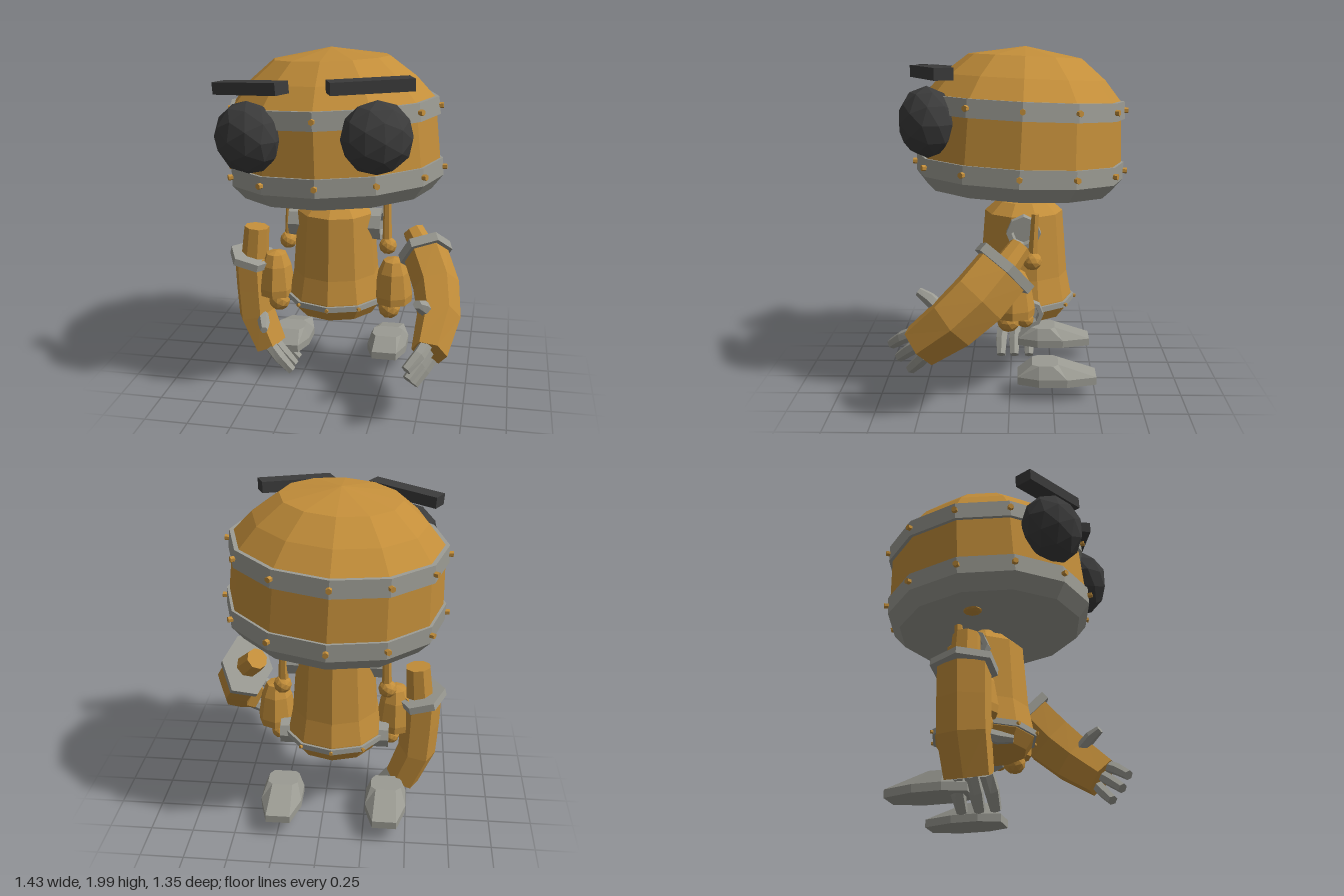
import * as THREE from 'three';

const mat = (name, color) => Object.assign(new THREE.MeshStandardMaterial({ color, flatShading: true }), { name });
const V = (a) => new THREE.Vector3(...a);

export function createModel() {
  const gold = mat('gold', 0xc38e3a);
  const grey = mat('grey', 0x9b9b93);
  const dark = mat('dark', 0x3b3b3b);
  const model = new THREE.Group();
  model.name = 'robot';

  const add = (parent, name, geo, material, pos = [0, 0, 0]) => {
    const mesh = new THREE.Mesh(geo, material);
    mesh.name = name;
    mesh.position.set(...pos);
    parent.add(mesh);
    return mesh;
  };
  const lathe = (pts, sides) => new THREE.LatheGeometry(pts.map((p) => new THREE.Vector2(...p)), sides);

  // Skin a list of equal-sized rings and close both ends
  const skin = (rings) => {
    const n = rings[0].length;
    const pos = [];
    const index = [];
    rings.forEach((r) => r.forEach((p) => pos.push(p.x, p.y, p.z)));
    for (let i = 0; i < rings.length - 1; i++) {
      for (let j = 0; j < n; j++) {
        const a = i * n + j, b = i * n + (j + 1) % n;
        index.push(a, b, b + n, a, b + n, a + n);
      }
    }
    const last = (rings.length - 1) * n;
    for (let j = 1; j < n - 1; j++) {
      index.push(0, j + 1, j, last, last + j, last + j + 1);
    }
    const g = new THREE.BufferGeometry();
    g.setAttribute('position', new THREE.Float32BufferAttribute(pos, 3));
    g.setIndex(index);
    g.computeVertexNormals();
    return g;
  };

  // Six-sided limb through points [x, y, z, radius], widened front to back
  const limb = (path, wide = 1, sides = 6) => {
    const pts = path.map(V);
    return skin(pts.map((p, i) => {
      const t = pts[Math.min(i + 1, pts.length - 1)].clone().sub(pts[Math.max(i - 1, 0)]).normalize();
      const u = new THREE.Vector3(1, 0, 0).cross(t).normalize();
      const v = t.clone().cross(u);
      return Array.from({ length: sides }, (_, j) => {
        const a = (j + 0.5) / sides * Math.PI * 2;
        return p.clone().addScaledVector(u, Math.cos(a) * path[i][3] * wide)
          .addScaledVector(v, Math.sin(a) * path[i][3]);
      });
    }));
  };

  // Rivets standing out around a ring
  const rivets = (parent, count, radius, y, size) => {
    for (let i = 0; i < count; i++) {
      const a = i / count * Math.PI * 2;
      const r = add(parent, 'rivet', new THREE.CylinderGeometry(size, size, size * 2, 6), gold,
        [Math.sin(a) * radius, y, Math.cos(a) * radius]);
      r.rotation.set(Math.PI / 2, a, 0, 'YXZ');
    }
  };

  // Head, slightly tilted
  const head = new THREE.Group();
  head.name = 'head';
  head.position.set(-0.055, 1.315, -0.055);
  head.rotation.set(-0.045, 0, 0.047);
  head.scale.set(1.015, 1, 0.985);
  model.add(head);
  add(head, 'headShell', lathe([[0.598, 0], [0.597, 0.05], [0.582, 0.3], [0.572, 0.4], [0.475, 0.515],
    [0.33, 0.632], [0, 0.688]], 12), gold);
  add(head, 'lowerBand', lathe([[0, -0.13], [0.545, -0.13], [0.613, -0.05], [0.613, 0.05], [0.58, 0.05]], 12), grey);
  add(head, 'upperBand', lathe([[0.57, 0.3], [0.603, 0.3], [0.596, 0.4], [0.55, 0.4]], 12), grey);
  rivets(head, 12, 0.618, 0, 0.017);
  rivets(head, 12, 0.603, 0.35, 0.017);
  for (const s of [-1, 1]) {
    const pad = add(head, 'headSocket', new THREE.IcosahedronGeometry(0.055, 1), gold, [s * 0.315, -0.13, -0.01]);
    pad.scale.y = 0.35;
  }

  // Eyes [x, y, z, yaw] and brows [x, y, z, yaw, roll]
  for (const [x, y, z, yaw] of [[-0.442, 1.575, 0.425, -0.46], [0.257, 1.606, 0.45, 0.42]]) {
    const eye = add(model, 'eye', new THREE.IcosahedronGeometry(0.197, 1), dark, [x, y, z]);
    eye.scale.z = 0.8;
    eye.rotation.y = yaw;
  }
  for (const [x, y, z, yaw, roll] of [[-0.428, 1.838, 0.405, -0.458, 0.085], [0.218, 1.872, 0.428, 0.405, 0.018]]) {
    const brow = add(model, 'brow', new THREE.BoxGeometry(0.445, 0.066, 0.108), dark, [x, y, z]);
    brow.rotation.set(0, yaw, roll, 'YXZ');
  }

  // Body with riveted waist ring and neck ball
  const body = new THREE.Group();
  body.name = 'body';
  body.position.set(-0.06, 0, -0.078);
  model.add(body);
  add(body, 'torso', lathe([[0, 0.43], [0.24, 0.43], [0.287, 0.5], [0.285, 0.54], [0.257, 0.68], [0.228, 1.05],
    [0.155, 1.115], [0, 1.13]], 10), gold);
  add(body, 'waistRing', lathe([[0.27, 0.503], [0.302, 0.503], [0.302, 0.535], [0.27, 0.535]], 10), grey);
  rivets(body, 10, 0.303, 0.519, 0.011);
  add(body, 'neckBall', new THREE.IcosahedronGeometry(0.085, 1), gold, [0, 1.115, 0]);

  // Paired sockets, pistons, hips and feet
  const socket = (x, y, z, s, r) => {
    const ring = add(body, 'socketRing', lathe([[0, -0.05], [r, -0.05], [r, 0.05], [r * 0.7, 0.05], [r * 0.6, 0.01],
      [0, 0.01]], 8), grey, [x, y, z]);
    ring.rotation.z = -s * Math.PI / 2;
  };
  const outline = [[0.075, -0.045], [0.12, -0.17], [0.12, -0.33], [0.07, -0.5]];
  const crown = [[0.065, -0.13], [0.09, -0.17], [0.09, -0.25], [0.06, -0.28]];
  const footRing = (half, y) => [...half, ...half.map(([x, z]) => [-x, z]).reverse()]
    .map(([x, z]) => new THREE.Vector3(x, y, z));
  for (const s of [-1, 1]) {
    socket(s * 0.225, 0.97, 0, s, 0.098);
    socket(s * 0.272, 0.505, -0.035, s, 0.08);
    add(body, 'pistonBall', new THREE.IcosahedronGeometry(0.054, 1), gold, [s * 0.307, 0.82, -0.05]);
    add(body, 'pistonRod', limb([[s * 0.302, 0.82, -0.05, 0.03], [s * 0.298, 1.09, -0.065, 0.023]]), gold);
    const thigh = add(body, 'thigh', lathe([[0, 0.505], [0.11, 0.515], [0.114, 0.56], [0.092, 0.7], [0.062, 0.77],
      [0, 0.785]], 8), gold, [s * 0.358, 0, 0.06]);
    thigh.scale.z = 1.1;
    add(body, 'hipBall', new THREE.IcosahedronGeometry(0.066, 1), gold, [s * 0.338, 0.475, 0.085]);
    add(body, 'kneeBall', new THREE.IcosahedronGeometry(0.05, 1), gold, [s * 0.335, 0.485, -0.01]);
    add(model, 'foot', skin([footRing(outline, 0.1), footRing(outline, 0.145), footRing(crown, 0.217)]), grey,
      [s * 0.31 - 0.068, 0, 0]);
  }

  // Arms: upper tube, cuff, forearm, then fingers and thumb
  const arm = (name, parts) => {
    const g = new THREE.Group();
    g.name = name;
    model.add(g);
    add(g, 'upperArm', limb(parts.upper, 1, 8), gold);
    add(g, 'cuff', limb(parts.cuff, 1.3), grey);
    add(g, 'forearm', limb(parts.forearm, 1.3), gold);
    parts.digits.forEach((d) => add(g, 'finger', limb(d), grey));
    add(g, 'thumb', limb(parts.thumb), grey);
  };
  arm('leftArm', {
    upper: [[0.405, 0.945, -0.06, 0.065], [0.48, 0.85, 0.02, 0.075]],
    cuff: [[0.477, 0.866, 0.008, 0.155], [0.495, 0.83, 0.042, 0.155]],
    forearm: [[0.485, 0.848, 0.025, 0.13], [0.565, 0.7, 0.16, 0.132], [0.595, 0.575, 0.3, 0.122], [0.562, 0.43, 0.48, 0.1]],
    digits: [
      [[0.55, 0.5, 0.51, 0.037], [0.515, 0.46, 0.58, 0.037], [0.455, 0.4, 0.65, 0.03]],
      [[0.555, 0.44, 0.48, 0.037], [0.515, 0.39, 0.54, 0.037], [0.46, 0.325, 0.61, 0.03]],
      [[0.57, 0.38, 0.45, 0.037], [0.535, 0.33, 0.49, 0.037], [0.485, 0.265, 0.545, 0.03]],
    ],
    thumb: [[0.54, 0.62, 0.36, 0.04], [0.51, 0.68, 0.43, 0.038], [0.49, 0.715, 0.49, 0.025]],
  });
  arm('rightArm', {
    upper: [[-0.54, 0.925, -0.035, 0.075], [-0.56, 0.7, -0.035, 0.085]],
    cuff: [[-0.564, 0.75, -0.035, 0.145], [-0.575, 0.708, -0.035, 0.145]],
    forearm: [[-0.57, 0.73, -0.035, 0.115], [-0.565, 0.55, -0.035, 0.115], [-0.555, 0.37, -0.035, 0.115],
      [-0.475, 0.165, -0.03, 0.105]],
    digits: [[0.055, 0.065], [-0.025, -0.02], [-0.1, -0.115]].map(([z0, z1]) => [
      [-0.45, 0.18, z0, 0.04], [-0.39, 0.11, z1, 0.04], [-0.315, 0.03, z1, 0.03]]),
    thumb: [[-0.5, 0.38, 0.04, 0.035], [-0.47, 0.36, 0.12, 0.036], [-0.45, 0.35, 0.195, 0.022]],
  });

  return model;
}
